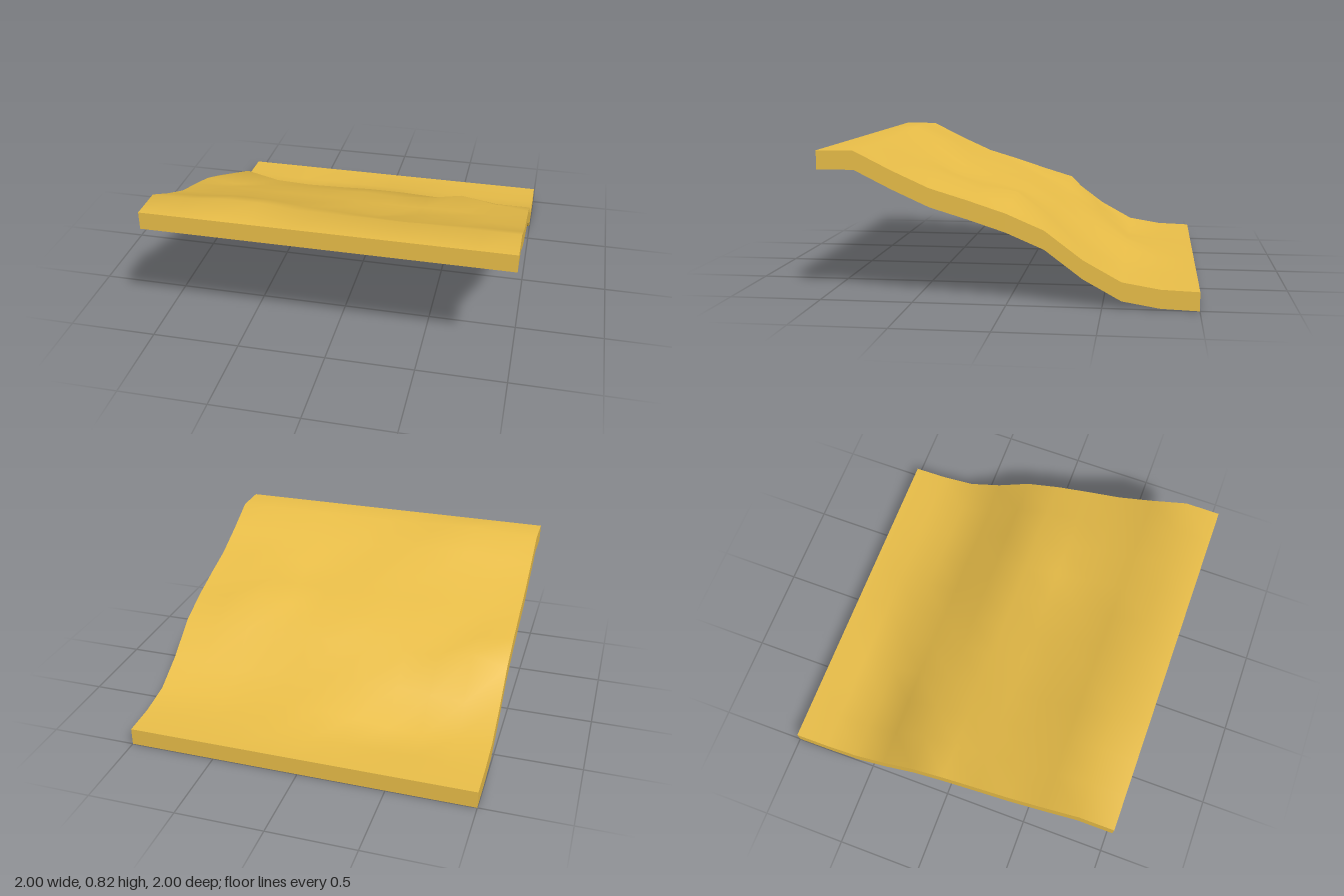
import * as THREE from 'three';

// Top height of the slope every 0.2 units, from the back (z = -1) to the front (z = 1)
const profile = [0.1, 0.107, 0.14, 0.25, 0.4, 0.485, 0.55, 0.61, 0.7, 0.8, 0.8];

// Gentle humps and dips on the slope: [x, z, height, half width]
const bumps = [
  [-0.5, 0.8, 0.027, 0.17],
  [-0.5, 0.6, 0.035, 0.25], [0.4, 0.6, -0.02, 0.25],
  [0.6, 0.4, 0.025, 0.2], [0.2, 0.4, -0.02, 0.15], [-0.1, 0.4, 0.02, 0.15], [-0.6, 0.4, 0.012, 0.2],
  [-0.3, 0.2, 0.006, 0.3],
  [0.6, 0, 0.06, 0.2], [-0.8, 0, -0.02, 0.2], [0, 0, 0.015, 0.2],
  [-0.8, -0.2, 0.055, 0.15], [0.1, -0.2, 0.015, 0.3],
  [-0.3, -0.4, 0.035, 0.3], [0.5, -0.4, -0.02, 0.25],
  [-0.6, -0.6, -0.027, 0.22], [0.05, -0.6, 0.035, 0.25],
];

function heightAt(x, z) {
  let y = profile[Math.round((z + 1) * 5)];
  if (Math.abs(x) > 0.99) return y; // side edges keep the plain profile
  for (const [bx, bz, h, w] of bumps) {
    if (Math.abs(z - bz) < 0.05) y += h * Math.exp(-(((x - bx) / w) ** 2));
  }
  return y;
}

export function createModel() {
  const group = new THREE.Group();
  group.name = 'terrainSlope';

  // Slab of constant thickness, bent to follow the slope; each side keeps a sharp rim
  const thickness = 0.1;
  const geometry = new THREE.BoxGeometry(2, thickness, 2, 10, 1, 10);
  const pos = geometry.attributes.position;
  for (let i = 0; i < pos.count; i++) {
    const top = heightAt(pos.getX(i), pos.getZ(i));
    pos.setY(i, top + pos.getY(i) - thickness / 2);
  }
  geometry.computeVertexNormals();

  const slab = new THREE.Mesh(geometry, new THREE.MeshStandardMaterial({ color: 0xe8bd48 }));
  slab.name = 'slopeSlab';
  group.add(slab);
  return group;
}
